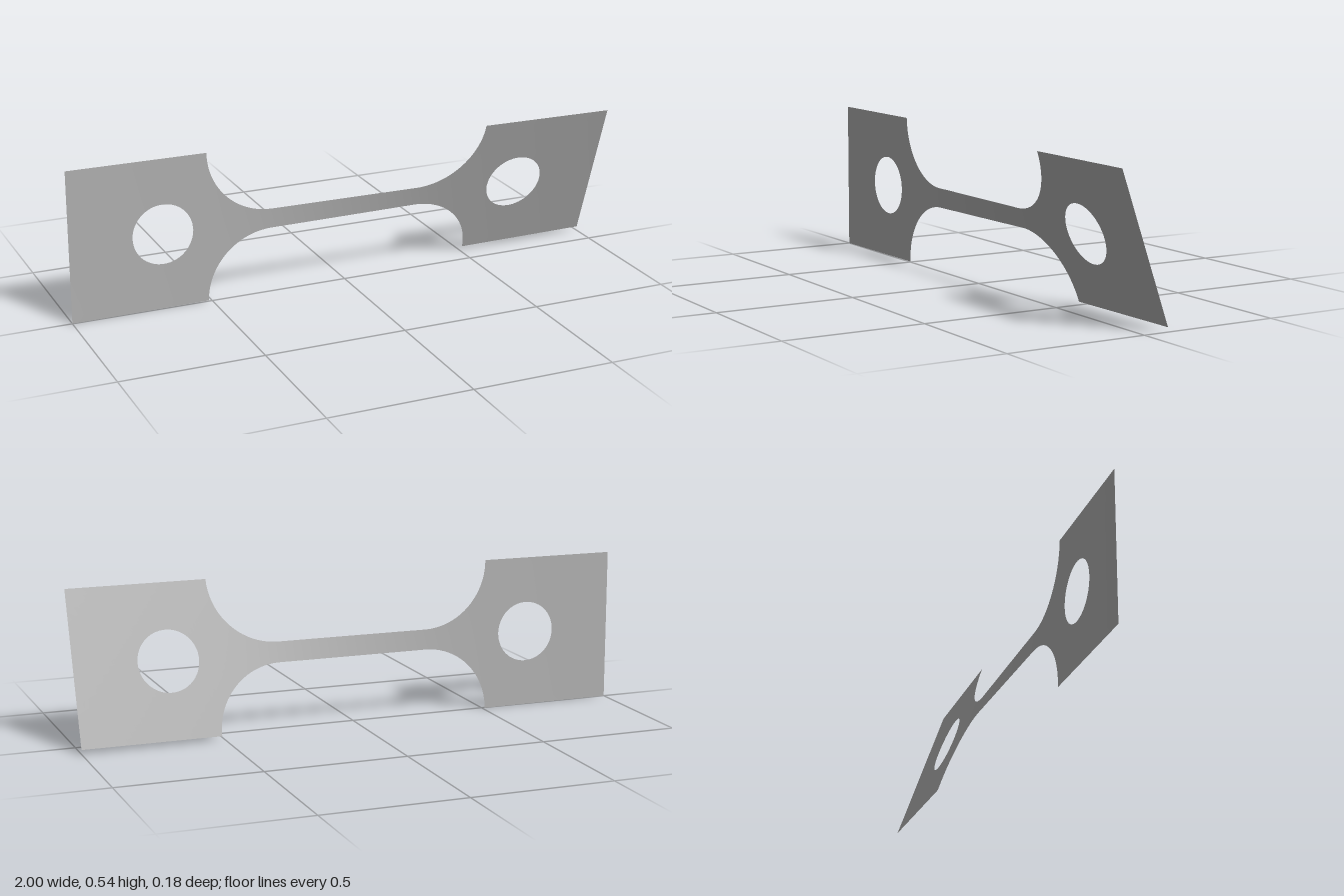
import * as THREE from 'three';
import { mergeGeometries, mergeVertices } from 'three/addons/utils/BufferGeometryUtils.js';

const HALF = 0.271;        // half height of the end plates
const GAUGE = 0.275;       // half length of the narrow middle
const R = 0.235;           // fillet radius
const SHOULDER = GAUGE + R;
const HOLE_X = 0.67, HOLE_R = 0.108;
const TWIST = THREE.MathUtils.degToRad(19.4);
const N = 14;              // divisions across the width

// Half height of the strip at a given x
function halfHeight(x) {
  const d = Math.min(Math.max(Math.abs(x) - GAUGE, 0), R);
  return HALF - (Math.abs(x) > SHOULDER ? 0 : Math.sqrt(R * R - d * d));
}

// Twist accumulates faster where the strip is narrower
const STEPS = 800, turn = [0];
for (let i = 0; i < STEPS; i++) {
  turn.push(turn[i] + 1 / halfHeight(-1 + (2 * (i + 0.5)) / STEPS));
}
function twistAt(x) {
  const t = THREE.MathUtils.clamp((x + 1) / 2, 0, 1) * STEPS;
  const i = Math.min(Math.floor(t), STEPS - 1);
  return TWIST * THREE.MathUtils.lerp(turn[i], turn[i + 1], t - i) / turn[STEPS];
}

// Grid surface from a rule (u, v) -> [x, y]
function grid(nu, nv, rule) {
  const g = new THREE.PlaneGeometry(1, 1, nu, nv);
  const p = g.attributes.position, uv = g.attributes.uv;
  for (let i = 0; i < p.count; i++) {
    const [x, y] = rule(uv.getX(i), uv.getY(i));
    p.setXYZ(i, x, y, 0);
  }
  g.deleteAttribute('uv');
  g.deleteAttribute('normal');
  return g;
}

// Narrow middle with rounded fillets at both ends
function neck() {
  return grid(80, N, (u, v) => {
    const s = 2 * u - 1, a = Math.max(Math.abs(s) - 0.5, 0) * Math.PI;
    const x = Math.abs(s) < 0.5 ? s * 2 * GAUGE : Math.sign(s) * (GAUGE + R * Math.sin(a));
    return [x, (2 * v - 1) * (HALF - R * Math.cos(a))];
  });
}

// Square end plate with a round hole; side -1 or 1 turns it half way round
function plate(side) {
  const corners = [[-1, HALF], [-SHOULDER, HALF], [-SHOULDER, -HALF], [-1, -HALF]];
  return grid(4 * N, 8, (u, v) => {
    const t = u * 4, k = Math.min(Math.floor(t + 1e-6), 3), f = t - k;
    const a = corners[k], b = corners[(k + 1) % 4];
    const ex = a[0] + (b[0] - a[0]) * f, ey = a[1] + (b[1] - a[1]) * f;
    const ang = Math.atan2(ey, ex + HOLE_X);
    const hx = -HOLE_X + HOLE_R * Math.cos(ang), hy = HOLE_R * Math.sin(ang);
    return [-side * (hx + (ex - hx) * v), -side * (hy + (ey - hy) * v)];
  });
}

export function createModel() {
  const metal = new THREE.MeshStandardMaterial({ color: 0xb2b2b2, side: THREE.DoubleSide });
  metal.name = 'grey metal';

  // Join the flat pieces, then twist the sheet about its long axis
  const sheet = mergeVertices(mergeGeometries([plate(-1), neck(), plate(1)]), 1e-4);
  const p = sheet.attributes.position;
  for (let i = 0; i < p.count; i++) {
    const a = twistAt(p.getX(i)), d = p.getY(i);
    p.setXYZ(i, p.getX(i), HALF + d * Math.cos(a), d * Math.sin(a));
  }
  sheet.computeVertexNormals();

  const mesh = new THREE.Mesh(sheet, metal);
  mesh.name = 'twistedTestStrip';
  const group = new THREE.Group();
  group.name = 'testSpecimen';
  group.add(mesh);
  return group;
}
